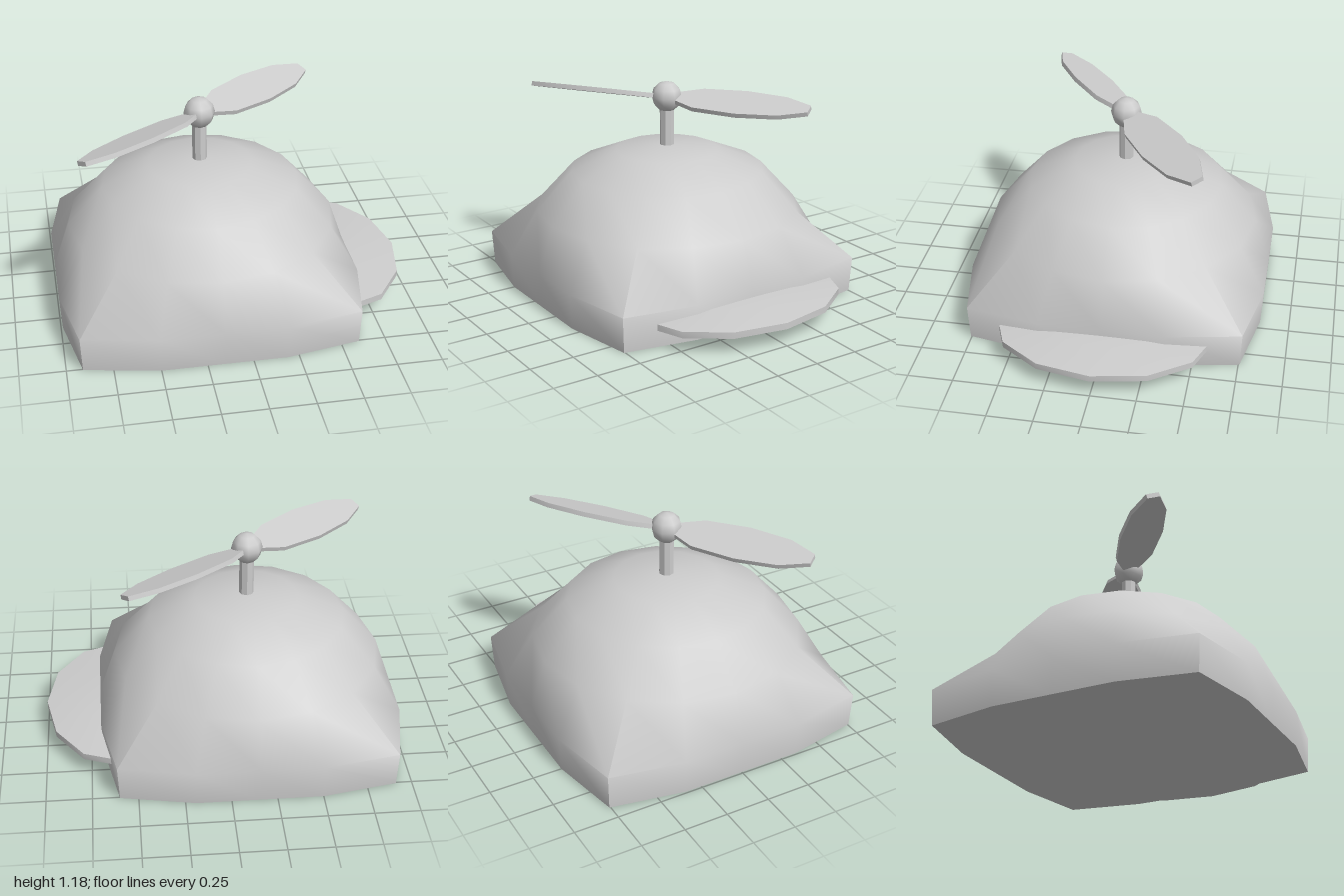
import * as THREE from 'three';
import { toCreasedNormals } from 'three/addons/utils/BufferGeometryUtils.js';

const CAP_X = -0.155; // centre of the dome
const HUB_Y = 1.097;

const grey = new THREE.MeshStandardMaterial({ color: 0xcccccc });
grey.name = 'light grey';

function add(parent, name, geometry, x = 0, y = 0, z = 0) {
  const mesh = new THREE.Mesh(geometry, grey);
  mesh.name = name;
  mesh.position.set(x, y, z);
  parent.add(mesh);
  return mesh;
}

function lathe(points, segments) {
  return new THREE.LatheGeometry(points.map(([r, y]) => new THREE.Vector2(r, y)), segments);
}

// Round dome whose two lowest rings are pushed out towards a square
function capGeometry() {
  const geo = lathe([[0, 0], [0.835, 0], [0.845, 0.2], [0.755, 0.46], [0.555, 0.68], [0.293, 0.79], [0, 0.82]], 16);
  const p = geo.attributes.position;
  for (let i = 0; i < p.count; i++) {
    const x = p.getX(i), z = p.getZ(i), r = Math.hypot(x, z);
    if (p.getY(i) > 0.21 || r < 0.1) continue;
    const square = r / Math.max(Math.abs(x), Math.abs(z));
    const k = square > 1.3 ? 1.281 : square; // corners are slightly clipped
    p.setX(i, x * k);
    p.setZ(i, z * k);
  }
  return toCreasedNormals(geo, 1.05);
}

// Flat, lens-like elliptical brim
function visorGeometry() {
  const geo = lathe([[0, 0.058], [0.3, 0.064], [0.6, 0.096], [0.6, 0.132], [0.3, 0.16], [0, 0.167]], 12);
  geo.scale(0.7, 1, 1);
  return toCreasedNormals(geo, 0.6);
}

// Thin pitched blade lying along +x
function bladeGeometry() {
  const half = [[0.04, 0.036], [0.19, 0.104], [0.445, 0.123], [0.685, 0.099], [0.838, 0.035]];
  const outline = [...half.map(([u, v]) => [u, -v]), ...half.slice().reverse()];
  const shape = new THREE.Shape(outline.map(([u, v]) => new THREE.Vector2(u, v)));
  const geo = new THREE.ExtrudeGeometry(shape, { depth: 0.026, bevelEnabled: false });
  geo.translate(0, 0, -0.013);
  geo.rotateX(-Math.PI / 2 + 0.29);
  return toCreasedNormals(geo, 0.7);
}

export function createModel() {
  const model = new THREE.Group();
  model.name = 'propellerCap';

  add(model, 'capDome', capGeometry(), CAP_X);
  add(model, 'visor', visorGeometry(), 0.58);

  // Propeller: stem, hub and two opposite blades
  const propeller = new THREE.Group();
  propeller.name = 'propeller';
  propeller.position.x = CAP_X;
  model.add(propeller);
  const stem = new THREE.CylinderGeometry(0.041, 0.041, 0.3, 8);
  add(propeller, 'stem', toCreasedNormals(stem, 0.6), 0, 0.93);
  add(propeller, 'hub', new THREE.SphereGeometry(0.088, 8, 6), 0, HUB_Y);
  const blade = bladeGeometry();
  for (let i = 0; i < 2; i++) {
    add(propeller, i ? 'frontBlade' : 'backBlade', blade, 0, HUB_Y - 0.004).rotation.y = 0.616 + i * Math.PI;
  }
  return model;
}
